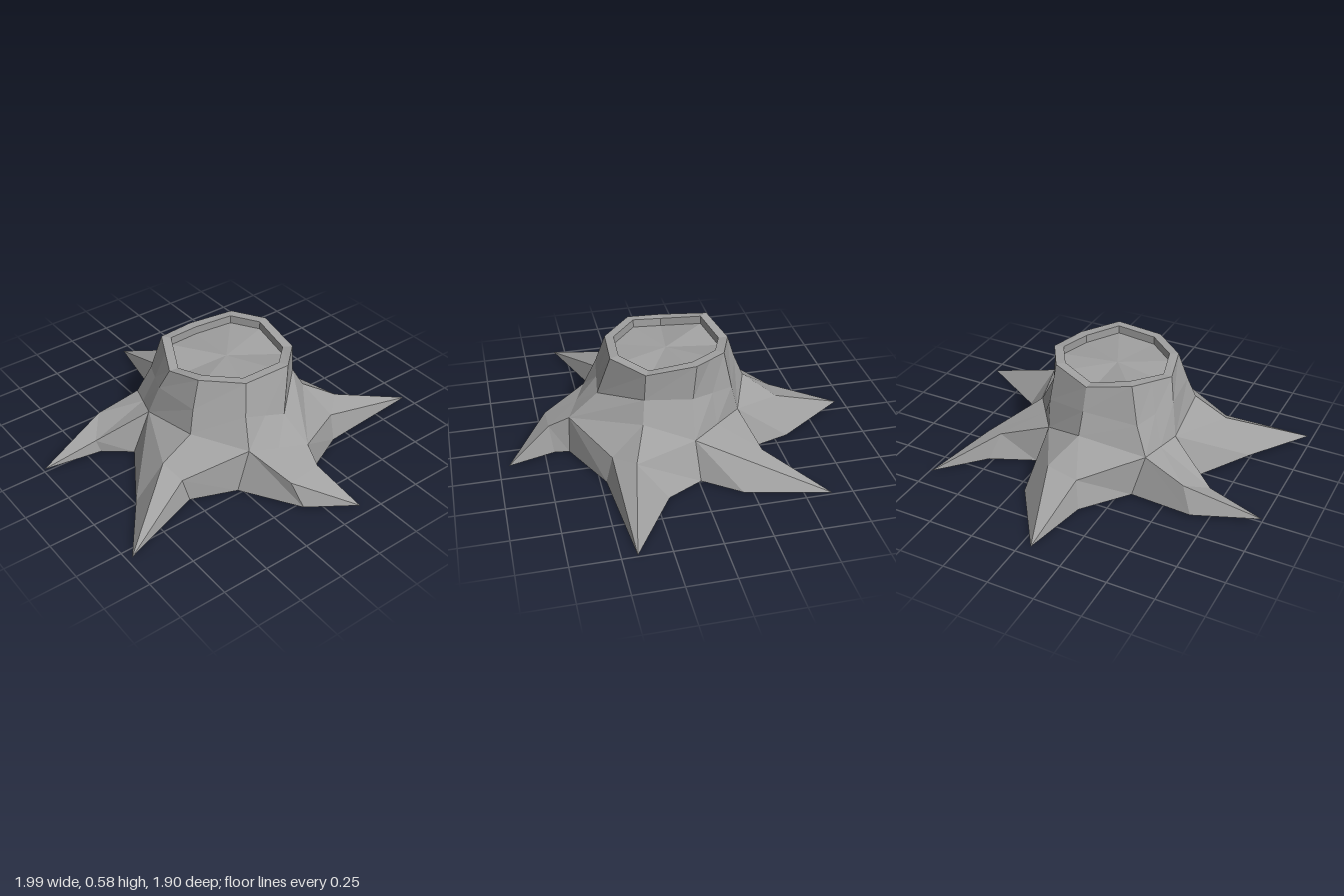
import * as THREE from 'three';

const V = (x, y, z) => new THREE.Vector3(x, y, z);
const mean = (a, b) => a.clone().add(b).multiplyScalar(0.5);
// the ground plane tilts very slightly
const ground = ([x, z]) => V(x, 0.01 - 0.01 * x, z);

// Joins two cross-sections (inner/upper and outer/lower) with triangles;
// flip(i) chooses the diagonal of each quad
function band(out, upper, lower, flip = () => false) {
  const tri = (a, b, c) => {
    if (!a.equals(b) && !b.equals(c) && !a.equals(c)) out.push(a, b, c);
  };
  for (let i = 0; i < upper.length - 1; i++) {
    const u0 = upper[i], u1 = upper[i + 1], l0 = lower[i], l1 = lower[i + 1];
    if (flip(i)) { tri(l1, l0, u1); tri(l0, u0, u1); }
    else { tri(l1, l0, u0); tri(l1, u0, u1); }
  }
}

function facetMesh(name, points, material) {
  const geometry = new THREE.BufferGeometry().setFromPoints(points);
  geometry.computeVertexNormals(); // unshared corners give flat facets
  const mesh = new THREE.Mesh(geometry, material);
  mesh.name = name;
  return mesh;
}

// Trunk columns, clockwise from the back: rim, middle, shoulder.
// null columns lie halfway between their neighbours.
const columns = [
  [V(-0.02, 0.545, -0.28), V(-0.02, 0.42, -0.32), V(-0.02, 0.30, -0.37)],
  [V(0.20, 0.58, -0.20), V(0.22, 0.38, -0.24), V(0.21, 0.23, -0.28)],
  null,
  [V(0.305, 0.58, -0.03), V(0.31, 0.39, -0.01), V(0.41, 0.20, 0)],
  [V(0.28, 0.545, 0.23), V(0.28, 0.40, 0.24), V(0.34, 0.29, 0.26)],
  [V(0.12, 0.575, 0.385), V(0.05, 0.335, 0.45), V(0.08, 0.22, 0.61)],
  null,
  [V(-0.14, 0.565, 0.37), V(-0.18, 0.40, 0.42), V(-0.21, 0.24, 0.49)],
  [V(-0.32, 0.57, 0.21), V(-0.37, 0.42, 0.23), V(-0.41, 0.30, 0.26)],
  [V(-0.365, 0.54, 0.02), V(-0.40, 0.42, -0.03), V(-0.44, 0.25, -0.08)],
  null,
  [V(-0.25, 0.58, -0.22), V(-0.30, 0.38, -0.26), V(-0.37, 0.23, -0.30)],
];

// Roots, clockwise from the back: ground valley before the root,
// ground points beside the knee, upper knee points, tip
const roots = [
  { name: 'backRoot', valley: [-0.32, -0.355], sides: [[-0.13, -0.59], [0.20, -0.57]],
    knee: [V(-0.10, 0.16, -0.55), V(0.07, 0.19, -0.54)], tip: [-0.06, -0.95] },
  { name: 'backLeftRoot', valley: [0.28, -0.31], sides: [[0.52, -0.41], [0.64, -0.20]],
    knee: [V(0.48, 0.14, -0.34), V(0.58, 0.11, -0.31)], tip: [0.74, -0.64] },
  { name: 'leftRoot', valley: [0.50, -0.01], sides: [[0.60, 0.18], [0.40, 0.47]],
    knee: [V(0.52, 0.18, 0.33), V(0.40, 0.155, 0.435)], tip: [0.99, 0.42] },
  { name: 'frontRoot', valley: [0.09, 0.62], sides: [[0.08, 0.70], [-0.09, 0.79]],
    knee: [V(0.055, 0.165, 0.72), V(-0.12, 0.14, 0.72)], tip: [0.15, 0.95] },
  { name: 'frontRightRoot', valley: [-0.28, 0.49], sides: [[-0.52, 0.40], [-0.75, 0.25]],
    knee: [V(-0.55, 0.145, 0.38), V(-0.59, 0.205, 0.27)], tip: [-0.98, 0.57] },
  { name: 'rightRoot', valley: [-0.54, -0.09], sides: [[-0.68, -0.20], [-0.66, -0.38]],
    knee: [V(-0.70, 0.09, -0.215), V(-0.60, 0.155, -0.34)], tip: [-1.0, -0.25] },
];

export function createModel() {
  const group = new THREE.Group();
  group.name = 'treeStump';
  const grey = new THREE.MeshStandardMaterial({ color: 0xa0a0a0 });
  grey.name = 'stump grey';

  const count = columns.length;
  const cols = columns.map((c, i) => c || columns[i - 1].map((p, r) => mean(p, columns[i + 1][r])));
  const ring = (row) => [...cols, cols[0]].map((c) => c[row]);
  const rim = ring(0), middle = ring(1), shoulder = ring(2);

  // Trunk wall
  const trunk = [];
  band(trunk, rim, middle);
  band(trunk, middle, shoulder);
  group.add(facetMesh('trunk', trunk, grey));

  // Bark rim and the sunken cut surface
  const inner = rim.map((p) => V(-0.03 + (p.x + 0.03) * 0.85, p.y, 0.06 + (p.z - 0.06) * 0.85));
  const floor = inner.map((p) => V(p.x, p.y - 0.045, p.z));
  const bark = [], cut = [];
  band(bark, inner, rim);
  band(bark, floor, inner);
  band(cut, floor.map(() => V(-0.03, 0.52, 0.06)), floor);
  group.add(facetMesh('barkRim', bark, grey), facetMesh('cutSurface', cut, grey));

  // Roots: trunk section, knee section, tip
  const outline = [];
  roots.forEach((root, i) => {
    const at = (k) => shoulder[(2 * i + k + count) % count];
    const next = roots[(i + 1) % roots.length];
    const [k0, k1] = root.knee;
    const [g0, g1] = root.sides.map(ground);
    const start = ground(root.valley), tip = ground(root.tip);
    const base = [start, at(-1), at(0), at(1), ground(next.valley)];
    const knee = [g0, k0, mean(k0, k1), k1, g1];
    const points = [];
    band(points, base, knee, (s) => s === 1);
    band(points, knee, knee.map(() => tip));
    group.add(facetMesh(root.name, points, grey));
    outline.push(start, g0, tip, g1);
  });

  // Flat underside
  const flat = outline.map((p) => new THREE.Vector2(p.x, p.z));
  const under = [];
  for (const [a, b, c] of THREE.ShapeUtils.triangulateShape(flat, [])) {
    const down = THREE.ShapeUtils.area([flat[a], flat[b], flat[c]]) > 0;
    under.push(outline[a], outline[down ? b : c], outline[down ? c : b]);
  }
  group.add(facetMesh('underside', under, grey));
  return group;
}
